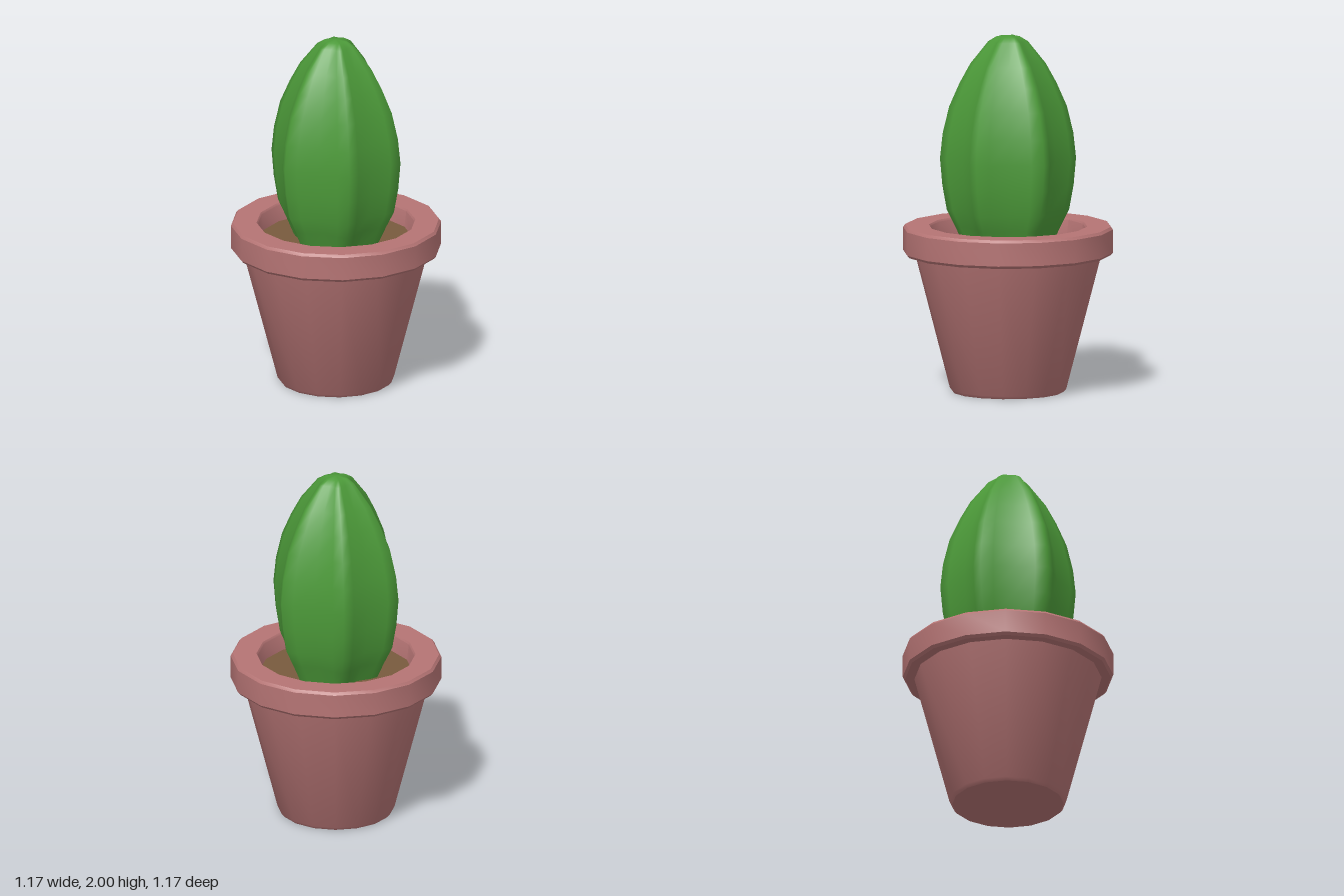
import * as THREE from 'three';
import { toCreasedNormals } from 'three/addons/utils/BufferGeometryUtils.js';

const SIDES = 16;

// Ribbed body: a star-shaped ring scaled along a height profile, closed at the tip
function cactusGeometry() {
  const ring = []; // [angle in degrees, share of the ridge radius]
  for (let i = 0; i < 6; i++) {
    ring.push([i * 60, 1], [i * 60 + 10, 0.92], [i * 60 + 30, 0.79], [i * 60 + 50, 0.92]);
  }
  const profile = [ // [ridge radius, height]
    [0.235, 0.8], [0.295, 0.93], [0.34, 1.02], [0.365, 1.16], [0.378, 1.31],
    [0.363, 1.45], [0.327, 1.6], [0.27, 1.73], [0.21, 1.84], [0.11, 1.965], [0.065, 1.992],
  ];
  const n = ring.length;
  const positions = [];
  const indices = [];
  profile.forEach(([radius, y], row) => {
    for (const [deg, share] of ring) {
      const a = THREE.MathUtils.degToRad(deg);
      positions.push(radius * share * Math.cos(a), y, radius * share * Math.sin(a));
    }
    if (row === 0) return;
    for (let i = 0; i < n; i++) {
      const a = (row - 1) * n + i;
      const b = (row - 1) * n + (i + 1) % n;
      indices.push(a, a + n, b, b, a + n, b + n);
    }
  });
  const tip = positions.length / 3;
  positions.push(0, 2, 0);
  for (let i = 0; i < n; i++) indices.push(tip - n + i, tip, tip - n + (i + 1) % n);

  const geometry = new THREE.BufferGeometry();
  geometry.setAttribute('position', new THREE.Float32BufferAttribute(positions, 3));
  geometry.setIndex(indices);
  geometry.computeVertexNormals();
  return geometry;
}

function latheGeometry(profile) {
  const points = profile.map(([r, y]) => new THREE.Vector2(r, y));
  return toCreasedNormals(new THREE.LatheGeometry(points, SIDES), 0.6);
}

export function createModel() {
  const clay = new THREE.MeshStandardMaterial({ color: 0xb57474 });
  const earth = new THREE.MeshStandardMaterial({ color: 0x785a3e });
  const green = new THREE.MeshStandardMaterial({ color: 0x4c9a39 });
  clay.name = 'clay';
  earth.name = 'earth';
  green.name = 'cactusGreen';

  const model = new THREE.Group();
  model.name = 'pottedCactus';
  const add = (name, geometry, material) => {
    const mesh = new THREE.Mesh(geometry, material);
    mesh.name = name;
    model.add(mesh);
    return mesh;
  };

  // Pot with tapered wall, overhanging bevelled rim and inner wall
  add('pot', latheGeometry([
    [0, 0], [0.31, 0], [0.325, 0.018], [0.52, 0.77], [0.572, 0.77], [0.585, 0.785],
    [0.585, 0.915], [0.573, 0.93], [0.442, 0.93], [0.435, 0.92], [0.42, 0.8],
  ]), clay);

  // Soil disc inside the rim
  const soil = add('soil', new THREE.CircleGeometry(0.428, SIDES), earth);
  soil.rotation.x = -Math.PI / 2;
  soil.position.y = 0.83;

  // Six-ribbed cactus
  add('cactus', cactusGeometry(), green);
  return model;
}
